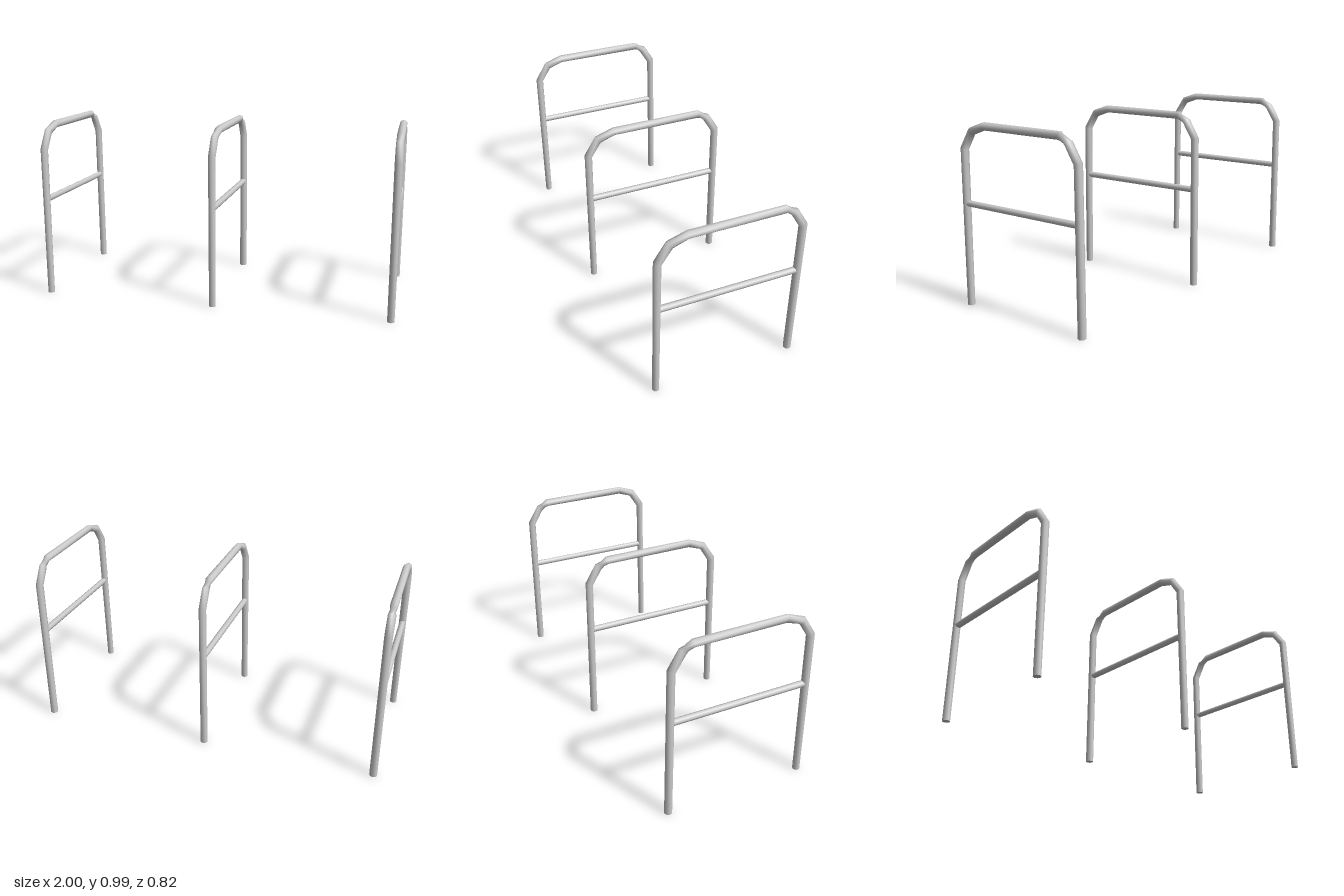
import * as THREE from 'three';

const material = new THREE.MeshStandardMaterial({ color: 0xcccccc, side: THREE.DoubleSide });
const SIDES = 8;

// Bent pipe in the z-y plane; each stop is [z, y, radius, twist in degrees]
function bentPipe(stops) {
  const points = stops.map(([z, y]) => new THREE.Vector2(z, y));
  const positions = [], indices = [];
  stops.forEach(([z, y, radius, twist], i) => {
    const before = points[i].clone().sub(points[Math.max(i - 1, 0)]).normalize();
    const after = points[Math.min(i + 1, points.length - 1)].clone().sub(points[i]).normalize();
    const along = before.clone().add(after).normalize();
    // widen the ring across the bend so the pipe keeps its thickness
    const mitre = 1 / Math.max(along.dot(i ? before : after), 0.5);
    for (let k = 0; k < SIDES; k++) {
      const a = (k / SIDES) * Math.PI * 2 + THREE.MathUtils.degToRad(twist);
      const across = Math.sin(a) * radius * mitre;
      positions.push(Math.cos(a) * radius, y + along.x * across, z - along.y * across);
      if (i) {
        const n = (k + 1) % SIDES, p = (i - 1) * SIDES, q = i * SIDES;
        indices.push(p + k, p + n, q + k, p + n, q + n, q + k);
      }
    }
  });
  const geometry = new THREE.BufferGeometry();
  geometry.setAttribute('position', new THREE.Float32BufferAttribute(positions, 3));
  geometry.setIndex(indices);
  geometry.computeVertexNormals();
  return geometry;
}

// Legs, chamfered bends and top rail; the bends twist where they meet the rail
const frameGeometry = bentPipe([
  [0.392, 0, 0.0195, 0],
  [0.386, 0.845, 0.0215, 0],
  [0.326, 0.938, 0.0215, 0],
  [0.235, 0.97, 0.0215, 65],
  [-0.272, 0.968, 0.0215, 65],
  [-0.326, 0.938, 0.0215, 180],
  [-0.383, 0.845, 0.0215, 180],
  [-0.388, 0, 0.0215, 180],
]);
const barGeometry = new THREE.CylinderGeometry(0.0175, 0.0175, 0.75, SIDES, 1, true).rotateX(Math.PI / 2);
const capGeometry = new THREE.CircleGeometry(0.0205, SIDES).rotateX(Math.PI / 2);

function addMesh(parent, name, geometry, y = 0, z = 0) {
  const mesh = new THREE.Mesh(geometry, material);
  mesh.name = name;
  mesh.position.set(0, y, z);
  parent.add(mesh);
}

export function createModel() {
  const model = new THREE.Group();
  model.name = 'hoopBarriers';
  // Three equal hoops in a row
  for (const [name, x] of [['rightHoop', -0.978], ['middleHoop', 0], ['leftHoop', 0.978]]) {
    const hoop = new THREE.Group();
    hoop.name = name;
    hoop.position.x = x;
    addMesh(hoop, 'frame', frameGeometry);
    addMesh(hoop, 'crossbar', barGeometry, 0.557);
    addMesh(hoop, 'frontFootCap', capGeometry, 0, 0.392);
    addMesh(hoop, 'backFootCap', capGeometry, 0, -0.388);
    model.add(hoop);
  }
  return model;
}
